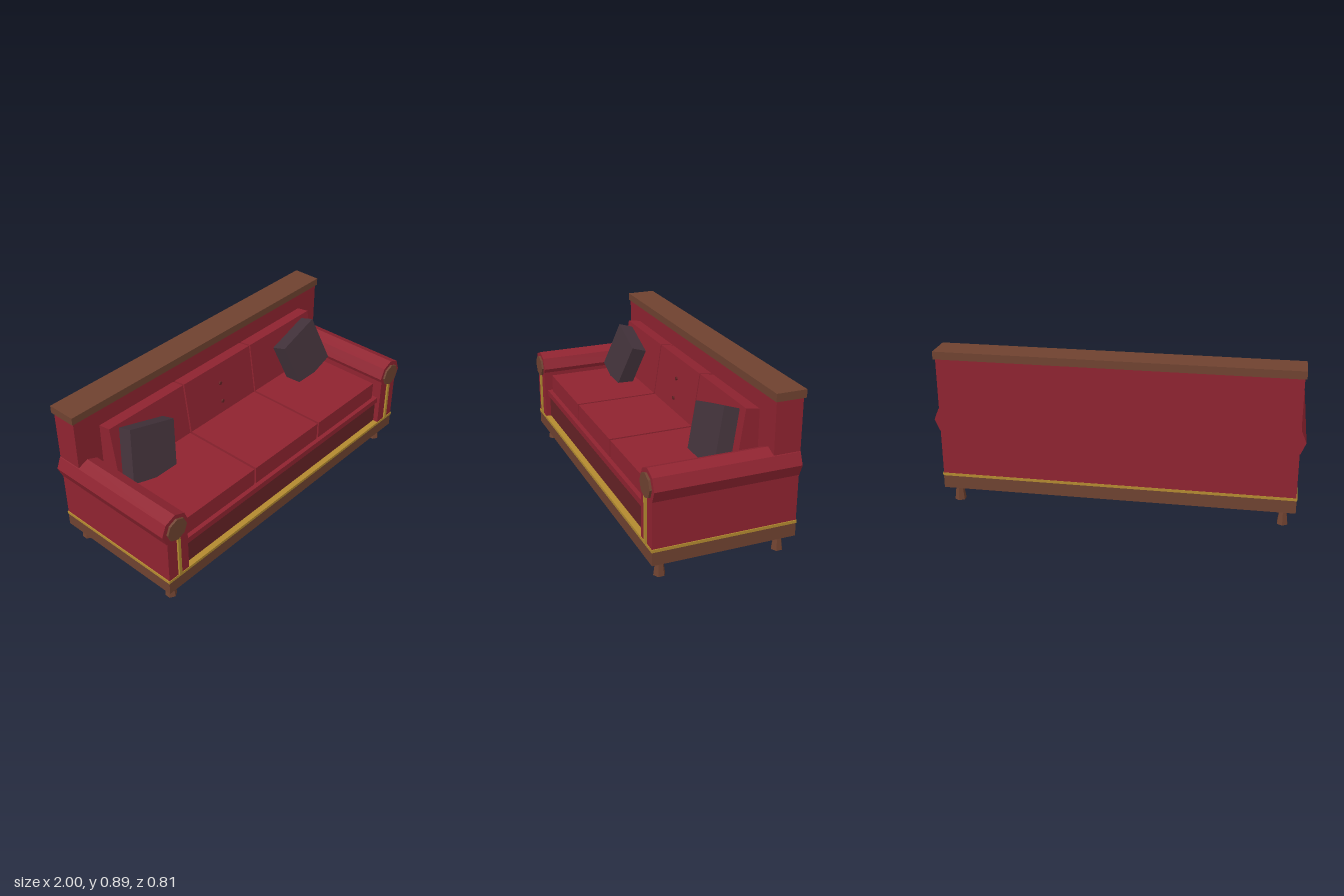
import * as THREE from 'three';

const mat = (name, color) => Object.assign(new THREE.MeshStandardMaterial({ color, flatShading: true }), { name });

export function createModel() {
  const red = mat('red upholstery', 0x8f2330);
  const darkRed = mat('dark red cloth', 0x662225);
  const wood = mat('brown wood', 0x6f4230);
  const gold = mat('gold trim', 0xb38a30);
  const plum = mat('plum pillow', 0x42323a);

  const sofa = new THREE.Group();
  sofa.name = 'sofa';

  const add = (name, geometry, material) => {
    const mesh = new THREE.Mesh(geometry, material);
    mesh.name = name;
    sofa.add(mesh);
    return mesh;
  };
  // Box given by its limits on each axis
  const box = (name, material, x0, x1, y0, y1, z0, z1) => {
    const mesh = add(name, new THREE.BoxGeometry(x1 - x0, y1 - y0, z1 - z0), material);
    mesh.position.set((x0 + x1) / 2, (y0 + y1) / 2, (z0 + z1) / 2);
    return mesh;
  };
  // Cylinder lying along z
  const rod = (name, material, radius, sides, x, y, z0, z1) => {
    const geometry = new THREE.CylinderGeometry(radius, radius, z1 - z0, sides).rotateX(Math.PI / 2);
    const mesh = add(name, geometry, material);
    mesh.position.set(x, y, (z0 + z1) / 2);
    return mesh;
  };

  // Plinth and its gold band
  box('baseFrame', wood, -0.972, 0.972, 0.095, 0.169, -0.395, 0.393);
  box('baseTrim', gold, -0.975, 0.975, 0.169, 0.185, -0.397, 0.396);

  // Backrest with wooden top rail
  box('backrest', red, -0.97, 0.97, 0.185, 0.852, -0.395, -0.247);
  box('topRail', wood, -0.98, 0.98, 0.852, 0.895, -0.405, -0.239);

  // Seat support
  box('frontApron', darkRed, -0.83, 0.83, 0.185, 0.325, -0.25, 0.362);
  box('seatDeck', red, -0.83, 0.83, 0.325, 0.36, -0.25, 0.375);

  // Three seat cushions and leaning back cushions
  for (const i of [-1, 0, 1]) {
    const x = i * 0.542;
    box('seatCushion', red, x - 0.264, x + 0.264, 0.36, 0.465, -0.247, 0.35);
    const back = add('backCushion', new THREE.BoxGeometry(0.532, 0.36, 0.11).translate(0, -0.18, -0.055), red);
    back.position.set(x, 0.766, -0.172);
    back.rotation.x = -0.145;
  }

  // Buttons on the middle back cushion
  for (const y of [0.65, 0.535]) {
    const z = -0.172 + (0.766 - y) * Math.tan(0.145);
    rod('cushionButton', darkRed, 0.011, 8, 0, y, z - 0.01, z + 0.008);
  }

  for (const s of [-1, 1]) {
    // Arm: panel, octagonal roll, wooden rosette and gold strip
    box('armPanel', red, s * 0.9 - 0.07, s * 0.9 + 0.07, 0.185, 0.5, -0.395, 0.393);
    rod('armRoll', red, 0.09, 8, s * 0.91, 0.503, -0.395, 0.393);
    rod('armRosette', wood, 0.065, 8, s * 0.907, 0.503, 0.39, 0.405);
    box('armStrip', gold, s * 0.898 - 0.009, s * 0.898 + 0.009, 0.185, 0.445, 0.39, 0.404);

    // Throw pillow, leaning back and tipped outward
    const pillow = add('throwPillow', new THREE.BoxGeometry(0.295, 0.29, 0.09), plum);
    pillow.position.set(s * 0.638, 0.587, -0.075);
    pillow.rotation.set(-0.3, 0, s * 0.255);

    // Hexagonal flared feet
    for (const z of [0.328, -0.33]) {
      const leg = add('leg', new THREE.CylinderGeometry(0.019, 0.032, 0.096, 6), wood);
      leg.position.set(s * 0.906, 0.048, z);
    }
  }
  return sofa;
}
